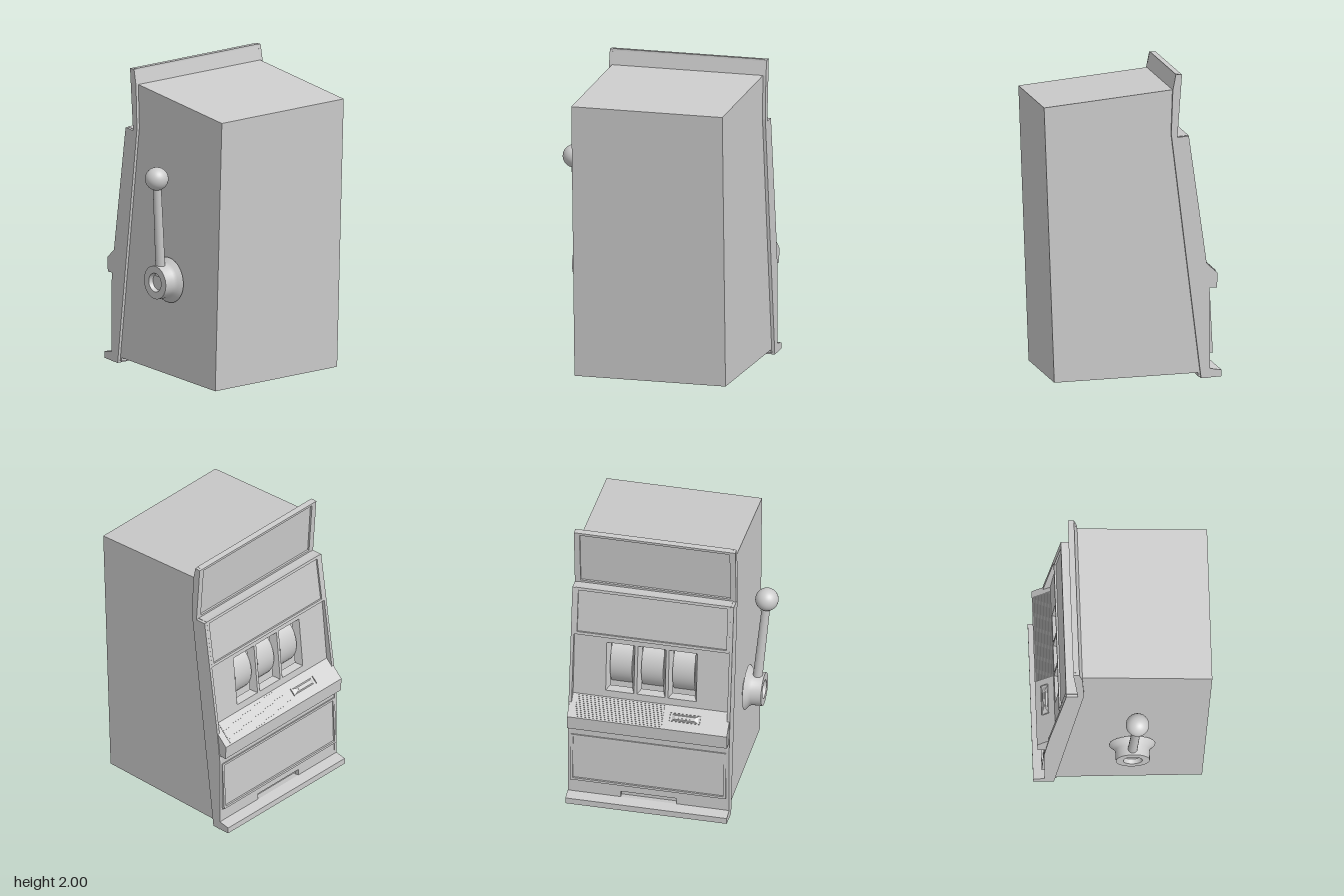
import * as THREE from 'three';

const X0 = -0.42, X1 = 0.61, MID = 0.095; // cabinet sides and centre line
const grey = new THREE.MeshStandardMaterial({ color: 0xcccccc });
const thin = new THREE.MeshStandardMaterial({ color: 0xcccccc, side: THREE.DoubleSide });

function add(parent, name, geometry, material = grey) {
  const mesh = new THREE.Mesh(geometry, material);
  mesh.name = name;
  parent.add(mesh);
  return mesh;
}

// Side profile of [z, y] points, extruded across the width
function prism(parent, name, profile, x0 = X0, x1 = X1) {
  const shape = new THREE.Shape(profile.map(([z, y]) => new THREE.Vector2(z, y)));
  const geometry = new THREE.ExtrudeGeometry(shape, { depth: x1 - x0, bevelEnabled: false });
  geometry.rotateY(-Math.PI / 2).translate(x1, 0, 0);
  return add(parent, name, geometry);
}

// Sloping work plane facing -z: local x = -world x, y up the slope, z outward
function slope(parent, name, bottom, top) {
  const up = new THREE.Vector3(0, top[1] - bottom[1], top[0] - bottom[0]);
  const group = new THREE.Group();
  group.name = name;
  group.userData.length = up.length();
  const right = new THREE.Vector3(-1, 0, 0);
  up.normalize();
  const out = new THREE.Vector3().crossVectors(right, up);
  group.quaternion.setFromRotationMatrix(new THREE.Matrix4().makeBasis(right, up, out));
  group.position.set(0, bottom[1], bottom[0]);
  parent.add(group);
  return group;
}

function rect(Type, x0, x1, v0, v1) {
  return new Type([[-x1, v0], [-x0, v0], [-x0, v1], [-x1, v1]].map((p) => new THREE.Vector2(...p)));
}

// Plate on a slope, with rectangular holes [x0, x1, v0, v1]
function plate(group, name, depth, holes, x0 = X0, x1 = X1) {
  const shape = rect(THREE.Shape, x0, x1, 0, group.userData.length);
  for (const h of holes) shape.holes.push(rect(THREE.Path, ...h));
  const geometry = new THREE.ExtrudeGeometry(shape, { depth, bevelEnabled: false });
  return add(group, name, geometry.translate(0, 0, -depth));
}

// Picture-frame border around a sloping panel
function border(parent, name, bottom, top, width, depth, x0 = X0, x1 = X1) {
  const group = slope(parent, name, bottom, top);
  const hole = [x0 + width, x1 - width, width, group.userData.length - width];
  plate(group, name + 'Border', depth, [hole], x0, x1);
}

// Four-sided tapered tube or block, front size w x h
function frustum(w, h, backW, backH, depth, open) {
  const geometry = new THREE.CylinderGeometry(Math.SQRT1_2, Math.SQRT1_2, depth, 4, 1, open).toNonIndexed();
  geometry.rotateY(Math.PI / 4).rotateX(Math.PI / 2);
  const p = geometry.attributes.position;
  for (let i = 0; i < p.count; i++) {
    const front = p.getZ(i) > 0;
    p.setXY(i, p.getX(i) * (front ? w : backW), p.getY(i) * (front ? h : backH));
  }
  geometry.computeVertexNormals();
  return geometry;
}

function addReels(parent) {
  const group = slope(parent, 'reelPanel', [-0.435, 0.8], [-0.39, 1.27]);
  const centres = [-1, 0, 1].map((i) => MID + i * 0.207);
  const v = 0.235, w = 0.187, h = 0.36;
  plate(group, 'reelPanelPlate', 0.008, centres.map((x) => [x - w / 2, x + w / 2, v - h / 2, v + h / 2]));
  for (const x of centres) {
    const reveal = add(group, 'windowReveal', frustum(w, h, 0.145, 0.33, 0.05, true), thin);
    reveal.position.set(-x, v, -0.025);
    const reel = add(group, 'reel', new THREE.CylinderGeometry(0.2, 0.2, 0.145, 48));
    reel.rotation.z = Math.PI / 2;
    reel.position.set(-x, v, -0.22);
  }
}

function addShelf(parent) {
  prism(parent, 'buttonShelf', [[-0.42, 0.6], [-0.55, 0.6], [-0.555, 0.695], [-0.43, 0.81], [-0.4, 0.81]],
    X0 - 0.015, X1 + 0.015);
  const top = slope(parent, 'shelfTop', [-0.555, 0.695], [-0.43, 0.81]);
  const length = top.userData.length;
  // Grille slats
  for (let i = 0; i < 12; i++) {
    const slat = add(top, 'grilleSlat', new THREE.BoxGeometry(0.58, 0.006, 0.008));
    slat.position.set(-0.29, 0.014 + (i * (length - 0.028)) / 11, 0.002);
  }
  // Coin slot
  const bezel = add(top, 'coinBezel', frustum(0.2, 0.055, 0.2, 0.055, 0.01, true), thin);
  bezel.position.set(0.145, length / 2, 0.003);
  const insert = add(top, 'coinInsert', frustum(0.13, 0.025, 0.18, 0.045, 0.012, false));
  insert.position.set(0.145, length / 2, 0.004);
  const slot = add(top, 'coinSlot', new THREE.BoxGeometry(0.1, 0.008, 0.006));
  slot.position.set(0.145, length / 2, 0.01);
}

function addLever(parent) {
  const lever = new THREE.Group();
  lever.name = 'lever';
  parent.add(lever);
  // Hub with a flared base and a bored outer face; local y points to -x
  const flare = [[0.15, 0], [0.148, 0.006], [0.125, 0.025], [0.112, 0.045], [0.11, 0.115]];
  const outer = new THREE.Vector2(0.11, 0.115);
  const parts = {
    hubBody: flare.map((p) => new THREE.Vector2(...p)),
    hubFace: [outer, new THREE.Vector2(0.062, 0.115)],
    hubBore: [new THREE.Vector2(0.062, 0.115), new THREE.Vector2(0.055, 0.085)],
    hubBoreEnd: [new THREE.Vector2(0.055, 0.085), new THREE.Vector2(0, 0.085)],
    hubBack: [new THREE.Vector2(0, 0), new THREE.Vector2(0.15, 0)],
    hubSpindle: [new THREE.Vector2(0.08, -0.02), new THREE.Vector2(0.08, 0)],
  };
  for (const [name, points] of Object.entries(parts)) {
    const mesh = add(lever, name, new THREE.LatheGeometry(points, 40), thin);
    mesh.rotation.z = Math.PI / 2;
    mesh.position.set(-0.435, 0.66, 0.062);
  }
  // Tapering arm and ball
  const from = new THREE.Vector3(-0.5, 0.7, 0.06), to = new THREE.Vector3(-0.56, 1.36, 0.092);
  const direction = to.clone().sub(from);
  const arm = add(lever, 'leverArm', new THREE.CylinderGeometry(0.027, 0.032, direction.length(), 24));
  arm.position.copy(from).lerp(to, 0.5);
  arm.quaternion.setFromUnitVectors(new THREE.Vector3(0, 1, 0), direction.normalize());
  add(lever, 'leverBall', new THREE.SphereGeometry(0.076, 32, 20)).position.copy(to);
}

export function createModel() {
  const model = new THREE.Group();
  model.name = 'slotMachine';

  prism(model, 'cabinet', [[0.515, 0], [0.582, 1.8], [-0.26, 1.9], [-0.25, 1.6], [-0.445, 0.045]]);

  // Side rails of the front
  const rail = [[-0.445, 0.012], [-0.505, 0.012], [-0.505, 0.55], [-0.477, 0.8], [-0.365, 1.597],
    [-0.29, 1.59], [-0.32, 2], [-0.28, 2], [-0.26, 1.9], [-0.25, 1.61]];
  prism(model, 'sideRail', rail, X0 - 0.02, X0);
  prism(model, 'sideRail', rail, X1, X1 + 0.02);

  // Upright sign
  prism(model, 'signPanel', [[-0.25, 1.6], [-0.278, 1.6], [-0.305, 1.99], [-0.28, 1.995], [-0.26, 1.9]]);
  border(model, 'sign', [-0.29, 1.59], [-0.32, 2], 0.018, 0.04);

  // Upper panel overhanging the reels
  prism(model, 'upperPanel', [[-0.25, 1.59], [-0.355, 1.59], [-0.4, 1.265], [-0.29, 1.265]]);
  border(model, 'upperTrim', [-0.413, 1.26], [-0.365, 1.6], 0.02, 0.03);
  prism(model, 'upperTopLedge', [[-0.25, 1.575], [-0.36, 1.575], [-0.364, 1.598], [-0.25, 1.59]]);

  addReels(model);
  addShelf(model);

  // Lower front with its framed panel
  prism(model, 'lowerFront', [[-0.37, 0.65], [-0.43, 0.12], [-0.5, 0.12], [-0.5, 0.58], [-0.49, 0.65]]);
  prism(model, 'lowerPanel', [[-0.49, 0.18], [-0.512, 0.18], [-0.502, 0.515], [-0.49, 0.515]]);
  border(model, 'lowerTrim', [-0.525, 0.175], [-0.508, 0.525], 0.016, 0.03);

  // Payout opening and tray
  const payout = slope(model, 'payout', [-0.505, 0.03], [-0.503, 0.16]);
  plate(payout, 'payoutPlate', 0.03, [[-0.09, 0.28, 0.035, 0.085]]);
  prism(model, 'payoutBack', [[-0.43, 0.02], [-0.46, 0.02], [-0.46, 0.13], [-0.42, 0.13]]);
  prism(model, 'tray', [[-0.445, 0.01], [-0.58, 0.02], [-0.58, 0.062], [-0.505, 0.073], [-0.445, 0.06]],
    X0 - 0.02, X1 + 0.02);

  addLever(model);
  return model;
}
